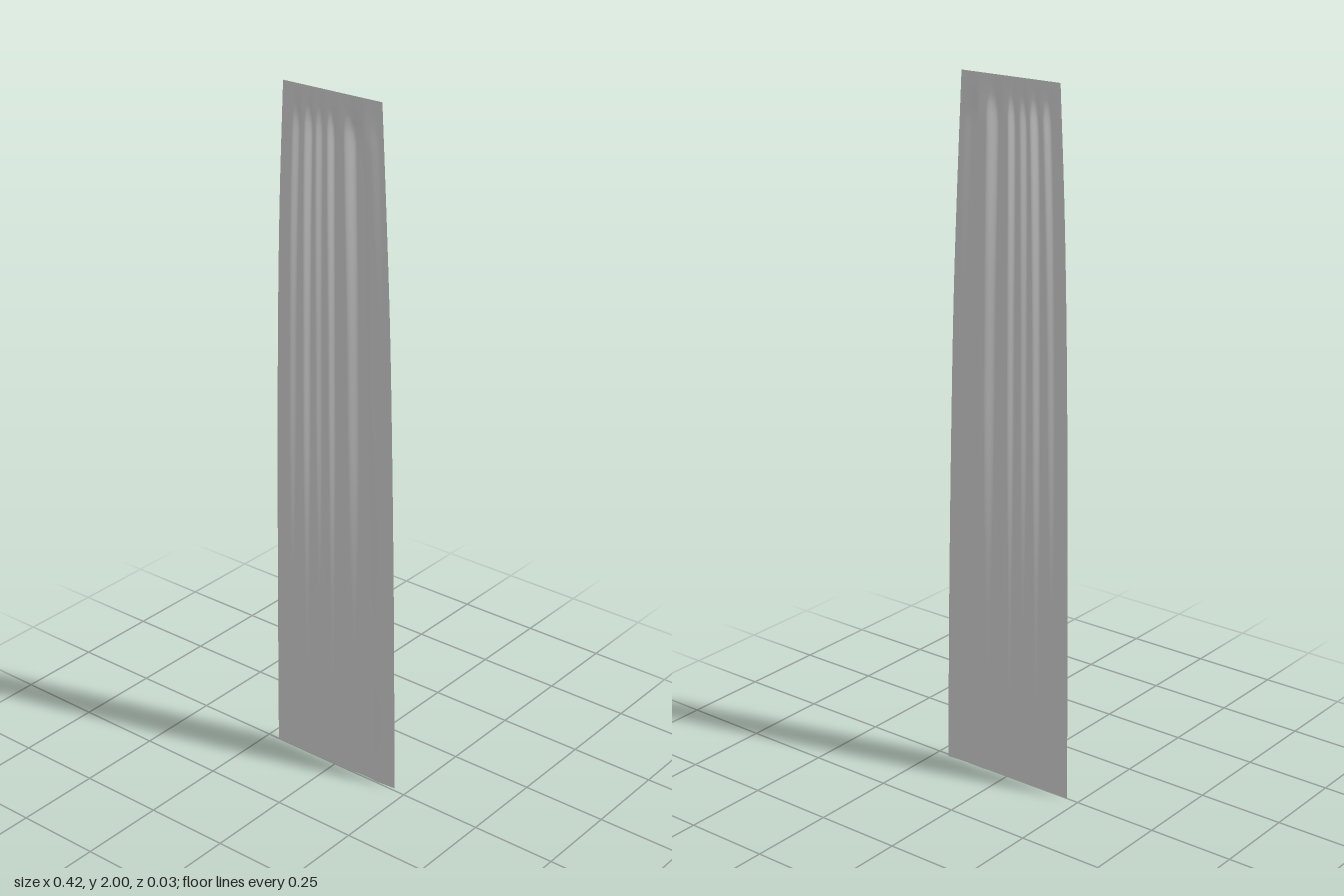
import * as THREE from 'three';

// Smooth curve through [position, value] pairs
function profile(points) {
  const ease = (t) => t * t * (3 - 2 * t);
  return (p) => {
    let i = 0;
    while (i < points.length - 2 && p > points[i + 1][0]) i++;
    const [a, va] = points[i], [b, vb] = points[i + 1];
    return va + (vb - va) * ease(THREE.MathUtils.clamp((p - a) / (b - a), 0, 1));
  };
}

// Side edges of the panel, x over height
function edge(points) {
  const curve = new THREE.CatmullRomCurve3(points.map(([y, x]) => new THREE.Vector3(x, y, 0)));
  const samples = curve.getPoints(200);
  return (y) => {
    let i = 0;
    while (i < samples.length - 2 && samples[i + 1].y < y) i++;
    const a = samples[i], b = samples[i + 1];
    return a.x + (b.x - a.x) * (y - a.y) / (b.y - a.y);
  };
}

export function createModel() {
  const group = new THREE.Group();
  group.name = 'curtain';

  const leftEdge = edge([[0, 0.21], [0.5, 0.203], [1, 0.192], [1.4, 0.18], [1.7, 0.166], [2, 0.15]]);
  const rightEdge = edge([[0, -0.213], [0.5, -0.209], [1, -0.203], [1.4, -0.195], [1.7, -0.185], [2, -0.17]]);

  // Depth of the pleats across the width, strongest near the top
  const pleats = profile([
    [0, 0], [0.1, 0.002], [0.163, -0.011], [0.23, 0.005], [0.29, -0.011], [0.345, 0.006],
    [0.4, -0.006], [0.457, 0.005], [0.51, -0.009], [0.62, 0.007], [0.714, -0.014],
    [0.78, -0.009], [0.857, 0.012], [1, 0],
  ]);
  const strength = profile([[0, 0.15], [0.4, 0.35], [1.2, 0.75], [1.88, 1], [1.98, 0], [2, 0]]);

  // Cloth sheet, shaped row by row
  const geometry = new THREE.PlaneGeometry(1, 2, 140, 80);
  const pos = geometry.attributes.position;
  for (let i = 0; i < pos.count; i++) {
    const u = pos.getX(i) + 0.5;
    const y = pos.getY(i) + 1;
    const x = THREE.MathUtils.lerp(rightEdge(y), leftEdge(y), u);
    const sway = -0.009 * (1 - y / 2) * u ** 3;
    pos.setXYZ(i, x, y, pleats(u) * strength(y) + sway);
  }
  geometry.computeVertexNormals();

  const cloth = new THREE.Mesh(
    geometry,
    new THREE.MeshStandardMaterial({ color: 0xcccccc, side: THREE.DoubleSide }),
  );
  cloth.name = 'curtainPanel';
  group.add(cloth);
  return group;
}
